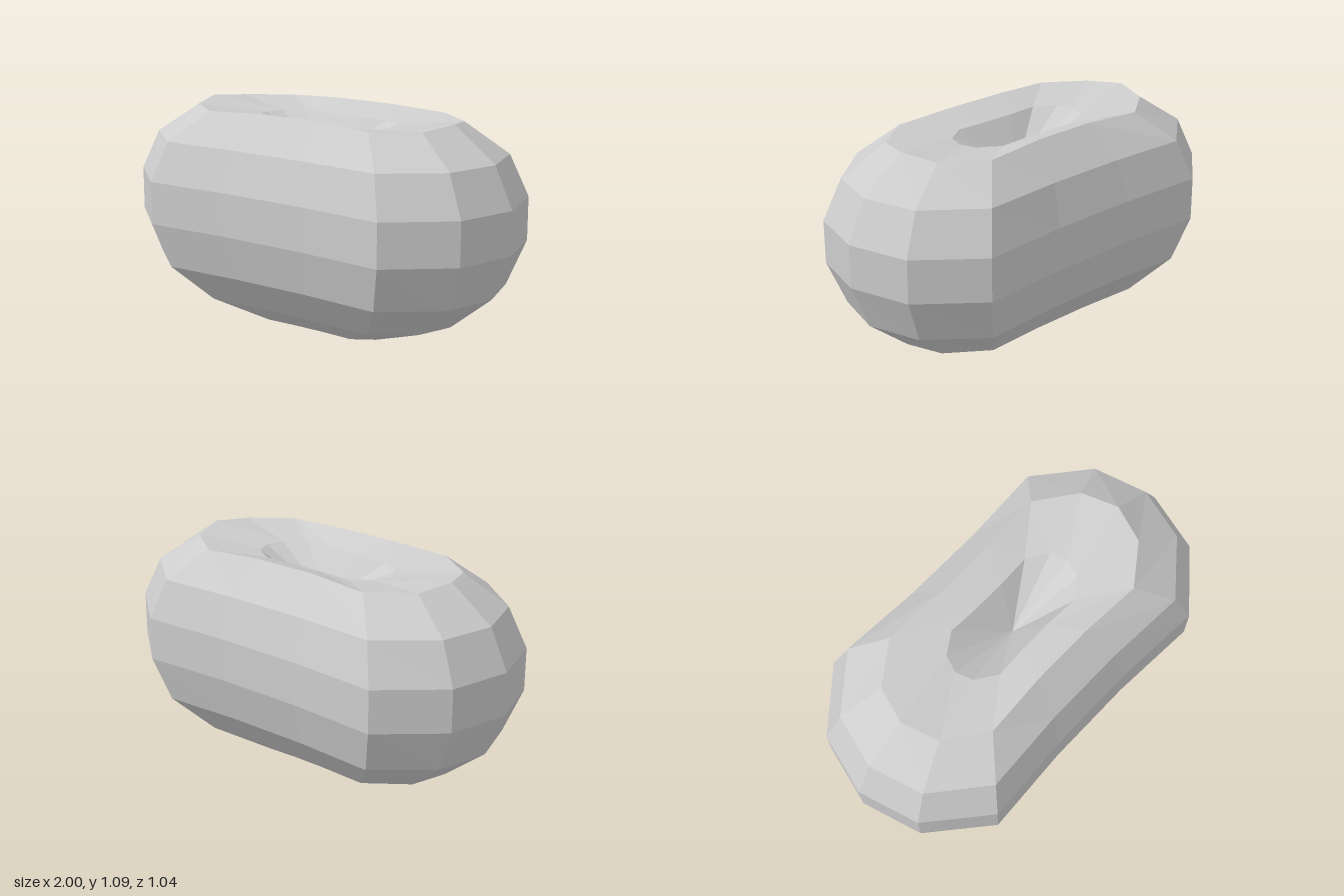
import * as THREE from 'three';

// Quarter outline at the widest level: [x, z]
const QUARTER = [[1, 0], [0.92, 0.29], [0.65, 0.52], [0.22, 0.495]];

// Full 14-sided outline, mirrored from the quarter
function outline() {
  const half = [...QUARTER, ...QUARTER.slice().reverse().map(([x, z]) => [-x, z])];
  return [...half, ...half.slice(1, -1).reverse().map(([x, z]) => [x, -z])];
}

// Levels from the bottom tip, over the rim, down into the dimple: [x scale, z scale, y]
const LEVELS = [
  [0, 0, 0], [0.375, 0.28, 0.04], [0.7, 0.6, 0.15], [0.91, 0.88, 0.32], [1, 1, 0.535],
  [1, 1, 0.74], [0.91, 0.88, 0.93], [0.7, 0.6, 1.085], [0.365, 0.285, 1.035], [0, 0, 0.84],
];
const RIM = 7;

export function createModel() {
  const group = new THREE.Group();
  const grey = new THREE.MeshStandardMaterial({ color: 0xcccccc, flatShading: true });
  grey.name = 'pale grey';

  const ring = outline();
  const n = ring.length;
  const point = (i, j) => {
    const [sx, sz, y] = LEVELS[i];
    const [x, z] = ring[j % n];
    // The rim dips a little at the rounded corners
    const corner = Math.abs(x) > 0.5 && Math.abs(z) > 0.1;
    return [x * sx, y - (i === RIM && corner ? 0.015 : 0), z * sz];
  };

  const positions = [];
  for (let i = 0; i < LEVELS.length - 1; i++) {
    for (let j = 0; j < n; j++) {
      const a = point(i, j), b = point(i, j + 1);
      const c = point(i + 1, j + 1), d = point(i + 1, j);
      if (LEVELS[i + 1][0] > 0) positions.push(...a, ...d, ...c);
      else positions.push(...a, ...d, ...b);
      if (LEVELS[i][0] > 0 && LEVELS[i + 1][0] > 0) positions.push(...a, ...c, ...b);
    }
  }

  // Faceted body with a dimple in the top
  const geometry = new THREE.BufferGeometry();
  geometry.setAttribute('position', new THREE.Float32BufferAttribute(positions, 3));
  geometry.computeVertexNormals();
  const body = new THREE.Mesh(geometry, grey);
  body.name = 'body';
  group.add(body);
  return group;
}
